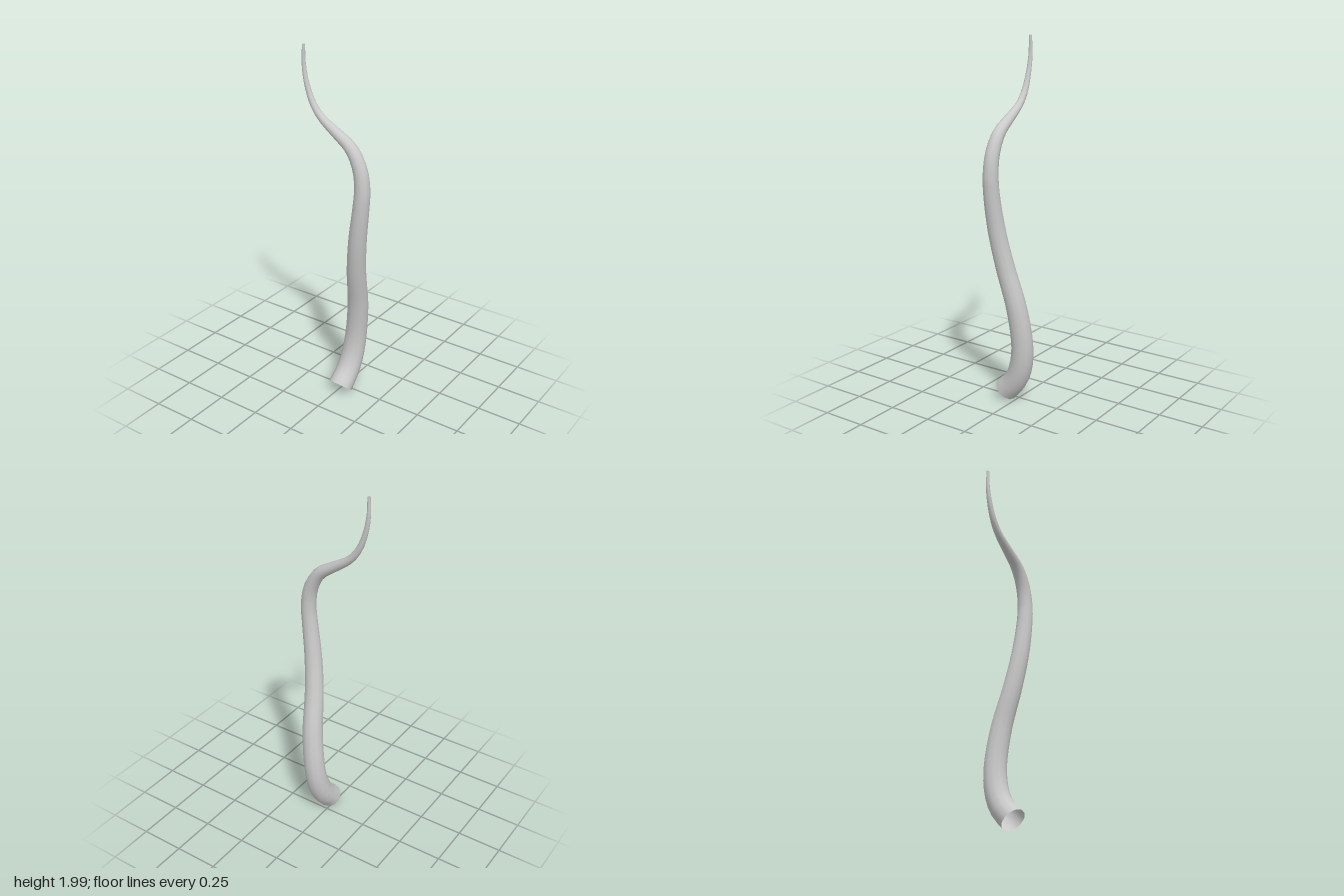
import * as THREE from 'three';

// Centre line of the horn, base to tip: x, y, z, radius
const STATIONS = [
  [0.025, 0.052, 0.068, 0.069],
  [0.03, 0.122, 0.004, 0.066],
  [0.037, 0.21, -0.036, 0.064],
  [0.048, 0.34, -0.055, 0.061],
  [0.073, 0.56, -0.036, 0.058],
  [0.1, 0.8, 0.022, 0.053],
  [0.128, 1.0, 0.055, 0.049],
  [0.156, 1.2, 0.067, 0.044],
  [0.163, 1.3, 0.067, 0.042],
  [0.147, 1.41, 0.066, 0.039],
  [0.092, 1.51, 0.065, 0.035],
  [0.0, 1.575, 0.065, 0.028],
  [-0.094, 1.64, 0.064, 0.021],
  [-0.145, 1.705, 0.064, 0.018],
  [-0.182, 1.8, 0.064, 0.014],
  [-0.2, 1.9, 0.063, 0.011],
  [-0.199, 2.0, 0.063, 0.008],
];

// Tube whose rings are scaled about the path by the station radii
function taperedTube(stations, segments, sides) {
  const path = new THREE.CatmullRomCurve3(stations.map(([x, y, z]) => new THREE.Vector3(x, y, z)));
  const geometry = new THREE.TubeGeometry(path, segments, 1, sides, false);
  const position = geometry.attributes.position;
  const v = new THREE.Vector3();
  for (let i = 0; i <= segments; i++) {
    const centre = path.getPointAt(i / segments);
    const k = path.getUtoTmapping(i / segments) * (stations.length - 1);
    const a = Math.min(Math.floor(k), stations.length - 2);
    const radius = THREE.MathUtils.lerp(stations[a][3], stations[a + 1][3], k - a);
    for (let j = 0; j <= sides; j++) {
      const n = i * (sides + 1) + j;
      v.fromBufferAttribute(position, n).sub(centre).multiplyScalar(radius).add(centre);
      position.setXYZ(n, v.x, v.y, v.z);
    }
  }
  return geometry;
}

export function createModel() {
  const group = new THREE.Group();
  group.name = 'curvedHorn';

  // Open at both ends, so the inside shows
  const material = new THREE.MeshStandardMaterial({ color: 0xcccccc, side: THREE.DoubleSide });
  const horn = new THREE.Mesh(taperedTube(STATIONS, 48, 12), material);
  horn.name = 'hornTube';
  group.add(horn);
  return group;
}
